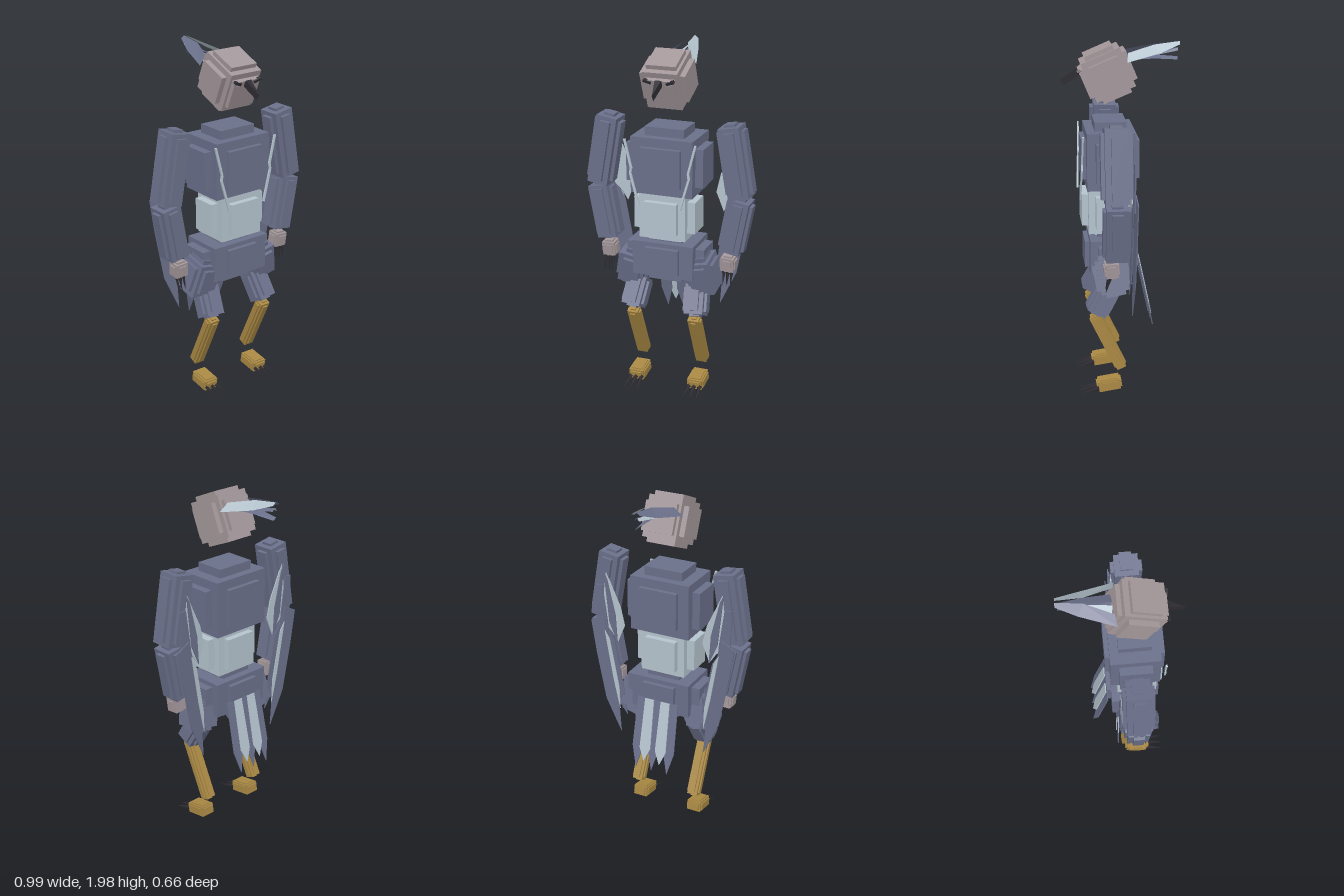
import * as THREE from 'three';

const mat = (name, color, side = THREE.FrontSide) => {
  const m = new THREE.MeshStandardMaterial({ color, side });
  m.name = name;
  return m;
};

export function createModel() {
  const slate = mat('slate', 0x6b708b, THREE.DoubleSide);
  const pale = mat('paleBlue', 0xb5c4ce, THREE.DoubleSide);
  const skin = mat('dustyPink', 0xa3979a);
  const gold = mat('gold', 0xa98843);
  const dark = mat('charcoal', 0x2f2d33);
  const root = new THREE.Group();
  root.name = 'birdFigure';

  const add = (parent, name, geo, m, pos = [0, 0, 0], rot = [0, 0, 0]) => {
    const mesh = new THREE.Mesh(geo, m);
    mesh.name = name;
    mesh.position.set(...pos);
    mesh.rotation.set(...rot);
    parent.add(mesh);
    return mesh;
  };
  const box = (parent, name, size, m, pos, rot) =>
    add(parent, name, new THREE.BoxGeometry(...size), m, pos, rot);

  // Box with a smaller raised plate on each face; k shrinks the plates per axis
  const padded = (name, m, core, ext, pos, rot = [0, 0, 0], k = [0.65, 0.65, 0.65]) => {
    const g = new THREE.Group();
    g.name = name;
    g.position.set(...pos);
    g.rotation.set(...rot);
    box(g, name + 'Core', core, m);
    for (let i = 0; i < 3; i++) {
      box(g, name + 'Plate', core.map((c, j) => (j === i ? ext[j] : c * k[j])), m);
    }
    root.add(g);
    return g;
  };

  // Thin flat feather from an outline in x, y
  const blade = (name, pts, m, pos, rot, s = 1) => {
    const shape = new THREE.Shape(pts.map(([x, y]) => new THREE.Vector2(s * x, y)));
    return add(root, name, new THREE.ExtrudeGeometry(shape, { depth: 0.006, bevelEnabled: false }), m, pos, rot);
  };

  // Feather surface between two edges of equal length
  const ribbon = (name, a, b, m, s = 1) => {
    const v = [], idx = [];
    a.forEach((p, i) => {
      v.push(s * p[0], p[1], p[2], s * b[i][0], b[i][1], b[i][2]);
      if (i) idx.push(2 * i - 2, 2 * i - 1, 2 * i, 2 * i - 1, 2 * i + 1, 2 * i);
    });
    const geo = new THREE.BufferGeometry();
    geo.setAttribute('position', new THREE.Float32BufferAttribute(v, 3));
    geo.setIndex(idx);
    const flat = geo.toNonIndexed();
    flat.computeVertexNormals();
    add(root, name, flat, m);
  };

  // Head with beak and brows, tipped forward
  const head = padded('head', skin, [0.2, 0.23, 0.23], [0.26, 0.28, 0.28], [0, 1.835, 0.09], [0.4, 0, 0], [0.85, 0.72, 0.72]);
  const beakShape = new THREE.Shape([[-0.018, 0], [0.018, 0], [0, -0.11]].map(p => new THREE.Vector2(...p)));
  const beakGeo = new THREE.ExtrudeGeometry(beakShape, { depth: 0.04, bevelEnabled: false });
  add(head, 'beak', beakGeo, dark, [0, 0.05, 0.135], [-Math.PI / 2 + 0.2, 0, 0]);
  for (const s of [1, -1]) {
    box(head, 'brow', [0.045, 0.014, 0.02], dark, [s * 0.065, 0.076, 0.138], [0, 0, s * 0.35]);
    box(head, 'eye', [0.02, 0.01, 0.008], pale, [s * 0.06, 0.064, 0.138], [0, 0, s * 0.35]);
  }

  // Crest feathers swept back
  for (const s of [1, -1]) {
    ribbon('crestFeather',
      [[0.07, 1.95, -0.02], [0.015, 1.985, -0.17], [0.005, 2.0, -0.31]],
      [[0.12, 1.905, -0.01], [0.065, 1.945, -0.2], [0.025, 1.985, -0.31]], s > 0 ? pale : slate, s);
    ribbon('crestUnderFeather',
      [[0.01, 1.92, -0.02], [0.004, 1.945, -0.17], [0.004, 1.965, -0.3]],
      [[0.06, 1.9, -0.02], [0.04, 1.93, -0.17], [0.015, 1.95, -0.3]], s > 0 ? slate : pale, s);
  }
  ribbon('crestLowFeather',
    [[-0.03, 1.905, -0.02], [-0.025, 1.925, -0.17], [-0.01, 1.915, -0.3]],
    [[0.03, 1.905, -0.02], [0.025, 1.91, -0.17], [0.01, 1.9, -0.3]], slate);

  // Torso
  padded('chest', slate, [0.36, 0.32, 0.27], [0.45, 0.42, 0.32], [0, 1.37, 0.08], [0, 0, 0], [0.64, 0.68, 0.65]);
  padded('belly', pale, [0.27, 0.26, 0.22], [0.36, 0.3, 0.29], [0, 1.08, 0.095], [0, 0, 0], [0.7, 0.7, 0.65]);
  padded('pelvis', slate, [0.36, 0.2, 0.25], [0.46, 0.27, 0.3], [0, 0.82, 0.075], [0, 0, 0], [0.55, 0.75, 0.65]);

  // Five tail feathers
  [-0.1, -0.05, 0, 0.05, 0.1].forEach((x, i) => {
    const tip = i % 2 ? -0.38 : -0.43;
    blade('tailFeather', [[-0.028, 0], [0.028, 0], [0.034, -0.3], [0, tip], [-0.034, -0.3]],
      i % 2 ? pale : slate, [x, 0.8, -0.075 - (i % 2) * 0.007], [0.21, 0, 0]);
  });

  for (const s of [1, -1]) {
    // Chest cord
    const cord = [[0.205, 1.52, 0.238], [0.165, 1.36, 0.242], [0.17, 1.33, 0.243], [0.12, 1.15, 0.25]];
    for (let i = 0; i < 3; i++) {
      const [a, b] = [cord[i], cord[i + 1]].map(p => new THREE.Vector3(s * p[0], p[1], p[2]));
      const m = box(root, 'chestCord', [0.012, a.distanceTo(b), 0.01], pale, a.clone().lerp(b, 0.5).toArray());
      m.quaternion.setFromUnitVectors(new THREE.Vector3(0, 1, 0), a.clone().sub(b).normalize());
    }

    // Arm and hand
    padded('upperArm', slate, [0.12, 0.4, 0.13], [0.16, 0.43, 0.17], [s * 0.385, 1.405, 0.075], [0, 0, s * 0.17], [0.5, 0.88, 0.5]);
    padded('forearm', slate, [0.115, 0.31, 0.12], [0.15, 0.34, 0.15], [s * 0.392, 1.04, 0.075], [0, 0, -s * 0.18], [0.5, 0.88, 0.5]);
    padded('hand', skin, [0.075, 0.08, 0.07], [0.09, 0.1, 0.085], [s * 0.357, 0.82, 0.1], [0.1, 0, -s * 0.05]);
    for (const j of [-1, 0, 1]) {
      add(root, 'fingerClaw', new THREE.ConeGeometry(0.013, 0.1, 4), dark,
        [s * 0.357 + j * 0.022, 0.74 - (j ? 0 : 0.008), 0.12], [Math.PI - 0.25, 0, 0]);
    }

    // Wing feathers behind the arm
    blade('wingUpperPale', [[0.36, 1.5], [0.325, 1.42], [0.27, 1.3], [0.245, 1.19], [0.262, 1.15], [0.29, 1.08], [0.33, 1.14], [0.4, 1.2]],
      pale, [0, 0, -0.012], [0, 0, 0], s);
    blade('wingUpperStripe', [[0.37, 1.5], [0.35, 1.46], [0.3, 1.25], [0.29, 1.08], [0.34, 1.2]], slate, [0, 0, -0.021], [0, 0, 0], s);
    blade('wingUpperOuter', [[0.42, 1.42], [0.38, 1.42], [0.35, 1.2], [0.34, 1.02], [0.42, 1.15]], slate, [0, 0, -0.024], [0, 0, 0], s);
    blade('wingLowerOuter', [[0.45, 1.2], [0.37, 1.24], [0.32, 1.02], [0.29, 0.8], [0.27, 0.505], [0.365, 0.71], [0.42, 1.0]],
      slate, [0, 0, -0.012], [0, s * 0.06, 0], s);
    blade('wingLowerInner', [[0.37, 1.18], [0.31, 1.08], [0.26, 0.82], [0.235, 0.62], [0.3, 0.72], [0.34, 0.9]],
      slate, [0, 0, 0], [0, s * 0.06, 0], s);
    blade('wingLowerStripe', [[0.36, 1.15], [0.33, 1.1], [0.275, 0.8], [0.27, 0.66], [0.31, 0.85]],
      pale, [0, 0, -0.021], [0, s * 0.06, 0], s);

    // Leg
    padded('thigh', slate, [0.15, 0.19, 0.16], [0.19, 0.24, 0.2], [s * 0.205, 0.735, 0.085], [0.2, 0, s * 0.22], [0.7, 0.75, 0.7]);
    padded('knee', slate, [0.11, 0.17, 0.11], [0.14, 0.19, 0.14], [s * 0.182, 0.58, 0.135], [-0.5, 0, s * 0.1], [0.55, 0.8, 0.55]);
    padded('shin', gold, [0.062, 0.36, 0.055], [0.08, 0.375, 0.072], [s * 0.185, 0.325, 0.105], [0.44, 0, 0], [0.5, 0.92, 0.5]);

    // Foot and toe claws
    padded('foot', gold, [0.085, 0.06, 0.125], [0.1, 0.072, 0.145], [s * 0.182, 0.06, 0.1], [0.15, 0, 0], [0.75, 0.7, 0.8]);
    for (const j of [-1, 0, 1]) {
      add(root, 'toeClaw', new THREE.ConeGeometry(0.014, 0.11, 4), dark,
        [s * 0.182 + j * 0.036, 0.03, 0.212 + (j ? 0 : 0.01)], [Math.PI / 2 + 0.25, 0, -j * 0.1]);
    }
  }
  return root;
}
